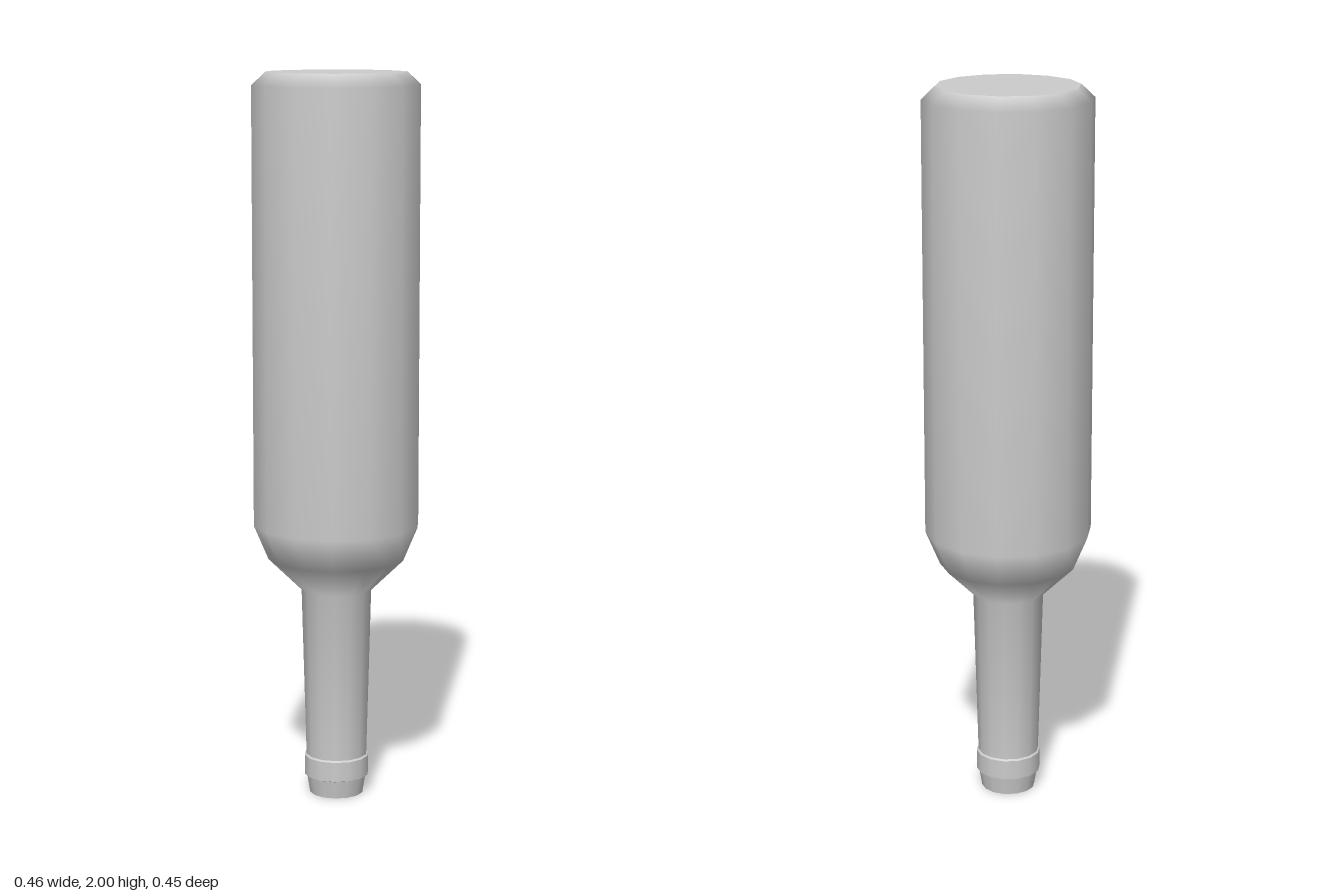
import * as THREE from 'three';

const SIDES = 14;

// Upside-down bottle: every part is a band of one revolved profile, [radius, height] upwards.
// Bands are smooth inside and meet at sharp edges.
const PARTS = {
  mouthDisc: [[0, 0], [0.075, 0]],
  mouthRim: [[0.075, 0], [0.083, 0.05]],
  collarLowerLedge: [[0.083, 0.05], [0.09, 0.053]],
  collar: [[0.09, 0.053], [0.09, 0.108]],
  collarUpperLedge: [[0.09, 0.108], [0.085, 0.112]],
  neckAndBody: [
    [0.085, 0.112], [0.098, 0.585], [0.19, 0.675], [0.23, 0.77],
    [0.23, 1.965], [0.193, 2],
  ],
  baseDisc: [[0.193, 2], [0, 2]],
};

export function createModel() {
  const bottle = new THREE.Group();
  bottle.name = 'bottle';
  const material = new THREE.MeshStandardMaterial({ color: 0xcccccc });

  for (const [name, profile] of Object.entries(PARTS)) {
    const points = profile.map(([r, y]) => new THREE.Vector2(r, y));
    // Start at +x so that a corner lies on the x axis
    const geometry = new THREE.LatheGeometry(points, SIDES, Math.PI / 2);
    const mesh = new THREE.Mesh(geometry, material);
    mesh.name = name;
    bottle.add(mesh);
  }
  return bottle;
}
